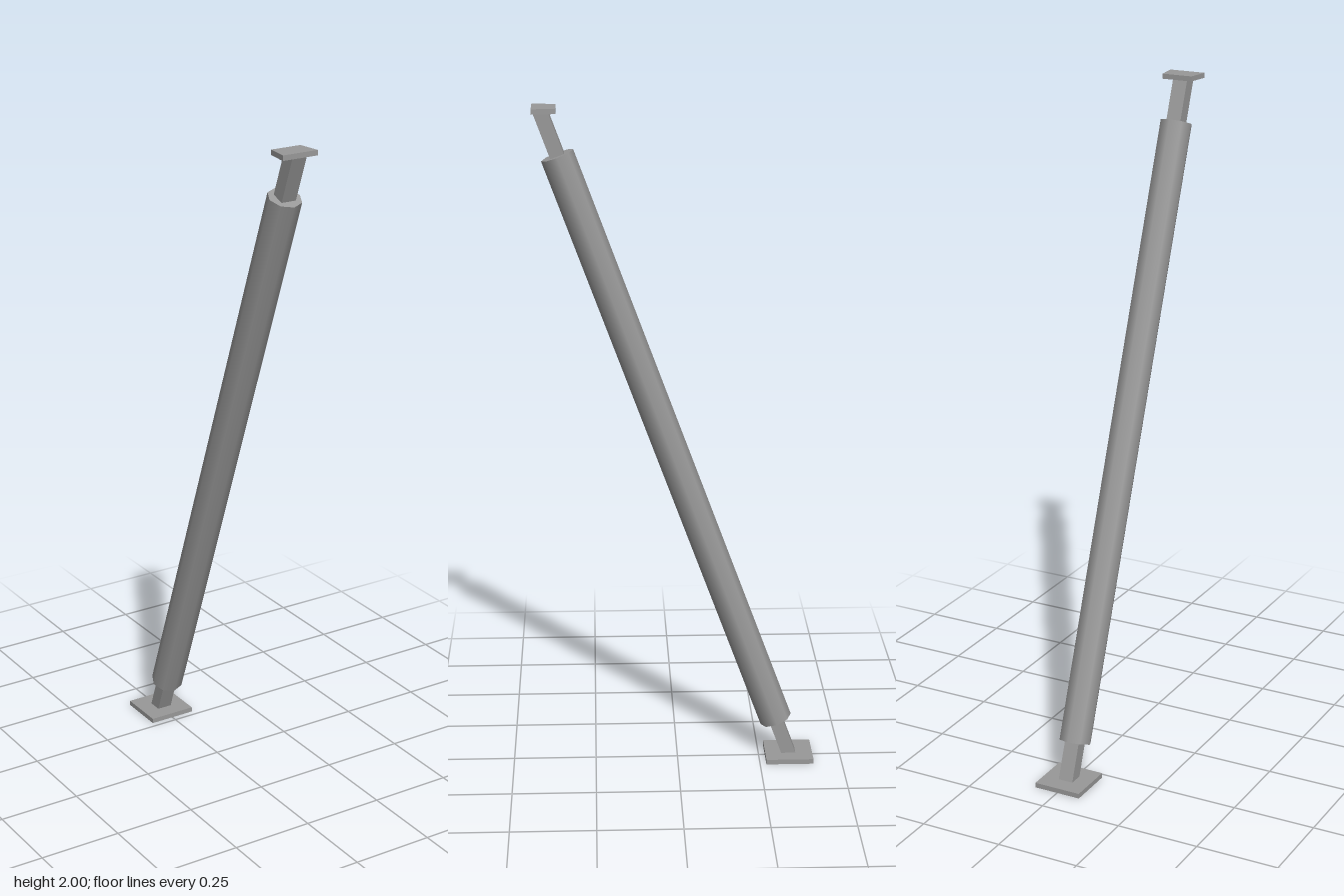
import * as THREE from 'three';

const SLOPE = 0.369; // z travelled per unit of height along the leaning axis
const MID_Y = 0.99, MID_Z = 0.02; // middle of the tube

// Applies a rule to every vertex of a geometry, then refreshes its normals
function reshape(geometry, rule) {
  const pos = geometry.attributes.position;
  const v = new THREE.Vector3();
  for (let i = 0; i < pos.count; i++) {
    rule(v.fromBufferAttribute(pos, i));
    pos.setXYZ(i, v.x, v.y, v.z);
  }
  geometry.computeVertexNormals();
  return geometry;
}

export function createModel() {
  const group = new THREE.Group();
  const material = new THREE.MeshStandardMaterial({ color: 0x999999 });

  const add = (name, geometry, x, y, z) => {
    const mesh = new THREE.Mesh(geometry, material);
    mesh.name = name;
    mesh.position.set(x, y, z);
    group.add(mesh);
    return mesh;
  };

  // Eight-sided, smooth-shaded outer tube
  const tube = add('tube', new THREE.CylinderGeometry(0.049, 0.049, 1.857, 8), 0, MID_Y, MID_Z);
  tube.rotation.x = Math.atan(SLOPE);

  // Square inner rod, sheared so that its ends lie flat against the plates
  const low = 0.012, high = 1.988, rodY = (low + high) / 2;
  const rod = reshape(new THREE.BoxGeometry(0.046, high - low, 0.044), (v) => {
    v.z += v.y * SLOPE;
  });
  add('innerRod', rod, 0, rodY, MID_Z + (rodY - MID_Y) * SLOPE);

  // Square foot plate
  add('footPlate', new THREE.BoxGeometry(0.146, 0.015, 0.144), 0, 0.0075, -0.341);

  // Head plate, widening towards the front
  const head = reshape(new THREE.BoxGeometry(2, 0.015, 0.069), (v) => {
    v.x *= v.z > 0 ? 0.056 : 0.047;
  });
  add('headPlate', head, 0, 1.9925, 0.3785);

  return group;
}
